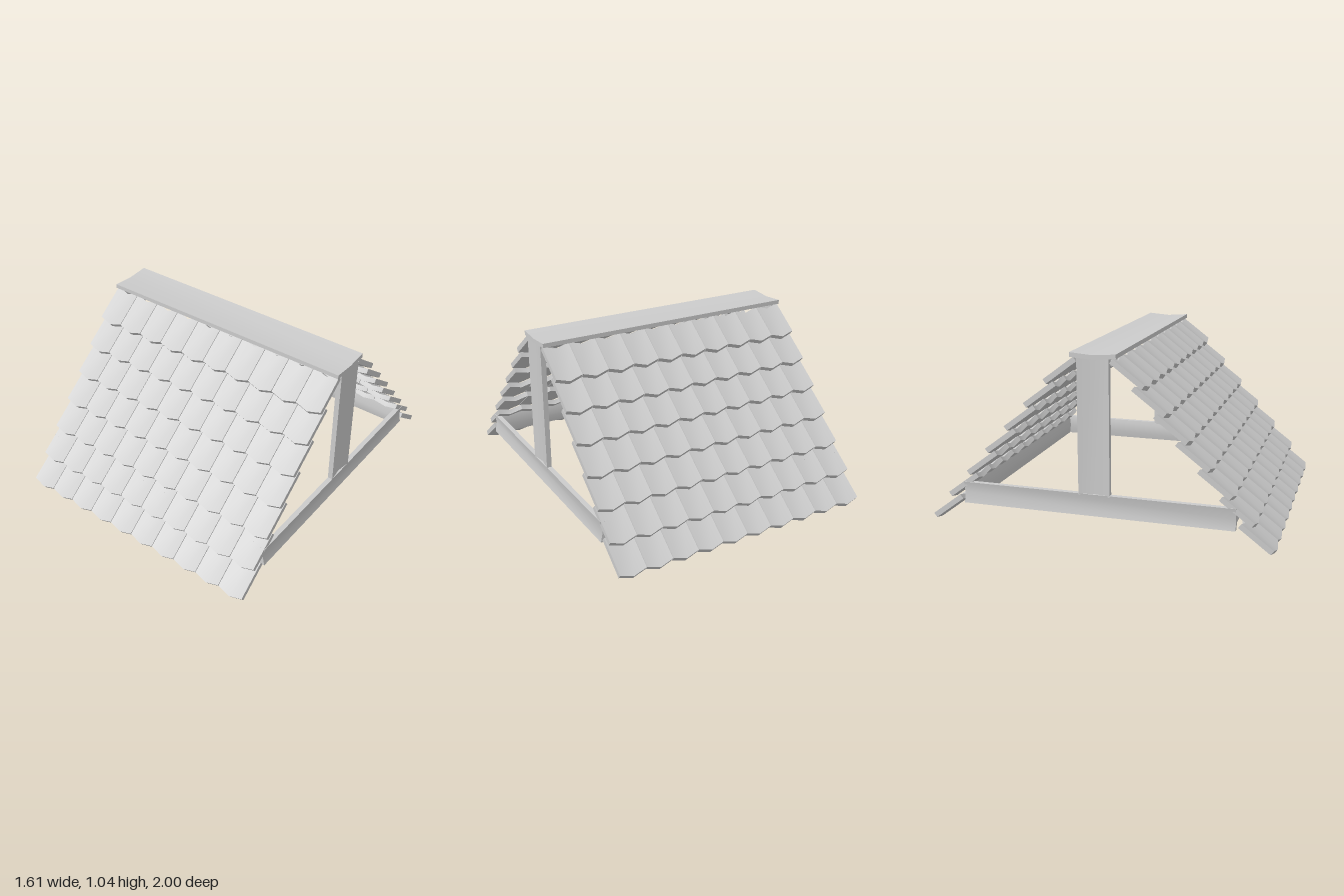
import * as THREE from 'three';

const material = new THREE.MeshStandardMaterial({ color: 0xcccccc });

// Plank along z whose top face lies at y = 0; its centre line is dropped by
// bend and slid along its length by slide, giving a shallow trough.
function plankGeometry(width, thickness, length, bend, slide = 0) {
  const geometry = new THREE.BoxGeometry(width, thickness, length, 2, 1, 1);
  geometry.translate(0, -thickness / 2, 0);
  const p = geometry.attributes.position;
  for (let i = 0; i < p.count; i++) {
    if (Math.abs(p.getX(i)) < 1e-4) {
      p.setY(i, p.getY(i) - bend);
      p.setZ(i, p.getZ(i) + slide);
    }
  }
  geometry.computeVertexNormals();
  return geometry;
}

function add(parent, name, geometry, position, rotation = [0, 0, 0]) {
  const mesh = new THREE.Mesh(geometry, material);
  mesh.name = name;
  mesh.position.set(...position);
  mesh.rotation.set(...rotation);
  parent.add(mesh);
  return mesh;
}

// One roof face of overlapping tiles, facing +z
function createSlope(name) {
  const slope = new THREE.Group();
  slope.name = name;
  const columns = 10, rows = 7, pitch = 0.161, length = 0.22;
  const tile = plankGeometry(pitch - 0.003, 0.03, length, 0.012, 0.02);
  tile.translate(0, 0, length / 2);
  for (let row = 0; row < rows; row++) {
    const inset = row === rows - 1 ? 0.015 : 0; // eaves row tucks in
    for (let col = 0; col < columns; col++) {
      add(slope, 'roofTile', tile,
        [(col - (columns - 1) / 2) * pitch, 1.02 - 0.14 * row, 0.11 + 0.12 * row - inset],
        [0.6435, 0, 0]);
    }
  }
  return slope;
}

// Tie beam and king post of one gable, facing +x
function createGableFrame(name) {
  const frame = new THREE.Group();
  frame.name = name;
  const q = Math.PI / 2;
  add(frame, 'tieBeam', plankGeometry(0.125, 0.03, 1.57, 0.012), [0.807, 0.198, 0], [0, 0, -q]);
  add(frame, 'kingPost', plankGeometry(0.18, 0.03, 0.77, 0.012), [0.807, 0.635, 0], [q, 0, -q]);
  return frame;
}

export function createModel() {
  const roof = new THREE.Group();
  roof.name = 'tiledRoof';
  const q = Math.PI / 2;

  // Ridge cap
  add(roof, 'ridgeCap', plankGeometry(0.26, 0.025, 1.614, 0.01), [0, 1.045, 0], [0, q, 0]);

  // Both slopes, each with a plate beam along its eaves
  const plate = plankGeometry(0.125, 0.03, 1.55, 0.012);
  for (const side of ['front', 'back']) {
    const half = createSlope(side + 'Slope');
    add(half, 'eavesBeam', plate, [0, 0.198, 0.77], [0, -q, -q]);
    if (side === 'back') half.rotation.y = Math.PI;
    roof.add(half);
  }

  // Gable frames at both ends
  const left = createGableFrame('leftGableFrame');
  const right = createGableFrame('rightGableFrame');
  right.rotation.y = Math.PI;
  roof.add(left, right);
  return roof;
}
